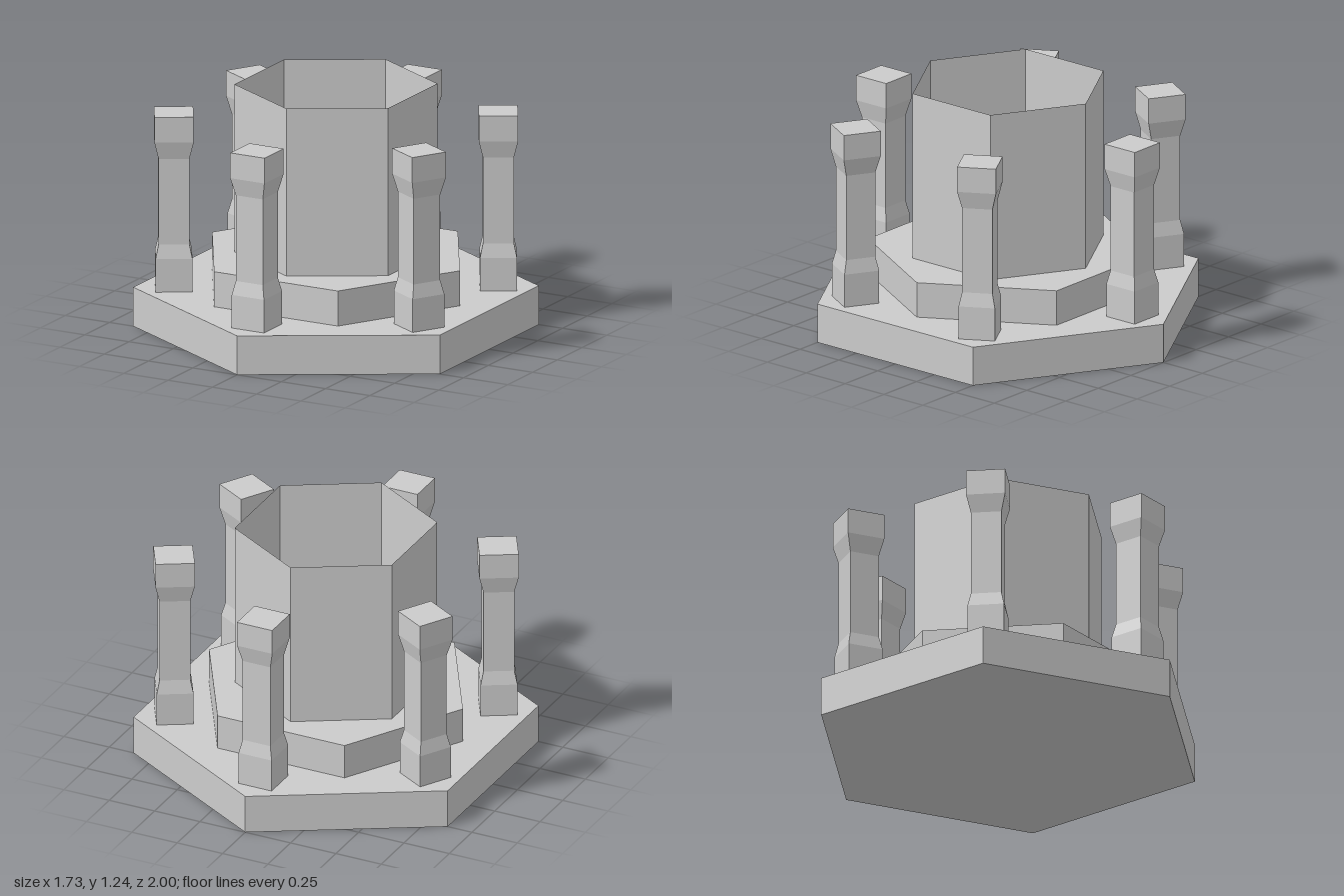
import * as THREE from 'three';

const grey = new THREE.MeshStandardMaterial({ color: 0xcccccc, flatShading: true });
const greyThin = new THREE.MeshStandardMaterial({ color: 0xcccccc, flatShading: true, side: THREE.DoubleSide });

// six-sided prism standing on y0; at turn 0 its corners point to +z and -z
function hexPrism(name, radius, y0, y1, turn = 0, open = false) {
  const geometry = new THREE.CylinderGeometry(radius, radius, y1 - y0, 6, 1, open, turn);
  const mesh = new THREE.Mesh(geometry, open ? greyThin : grey);
  mesh.name = name;
  mesh.position.y = (y0 + y1) / 2;
  return mesh;
}

// square pillar: half widths at each height, closed at both ends
function pillarGeometry() {
  const profile = [
    [0, 0.2], [0.091, 0.2], [0.091, 0.37], [0.076, 0.44],
    [0.076, 0.88], [0.097, 0.97], [0.097, 1.1], [0, 1.1],
  ].map(([half, y]) => new THREE.Vector2(half * Math.SQRT2, y));
  return new THREE.LatheGeometry(profile, 4, Math.PI / 4);
}

export function createModel() {
  const model = new THREE.Group();
  model.name = 'hexagonalWell';

  // stepped base
  model.add(hexPrism('base', 1, 0, 0.2));
  model.add(hexPrism('step', 0.7, 0.2, 0.38, Math.PI / 6));

  // thin open shaft in the middle
  model.add(hexPrism('shaftWall', 0.5, 0.38, 1.24, 0, true));

  // one pillar at each corner of the base, facing outwards
  const geometry = pillarGeometry();
  for (let i = 0; i < 6; i++) {
    const angle = (i * Math.PI) / 3;
    const pillar = new THREE.Mesh(geometry, grey);
    pillar.name = `pillar${i + 1}`;
    pillar.position.set(0.8 * Math.sin(angle), 0, 0.8 * Math.cos(angle));
    pillar.rotation.y = angle;
    model.add(pillar);
  }
  return model;
}
